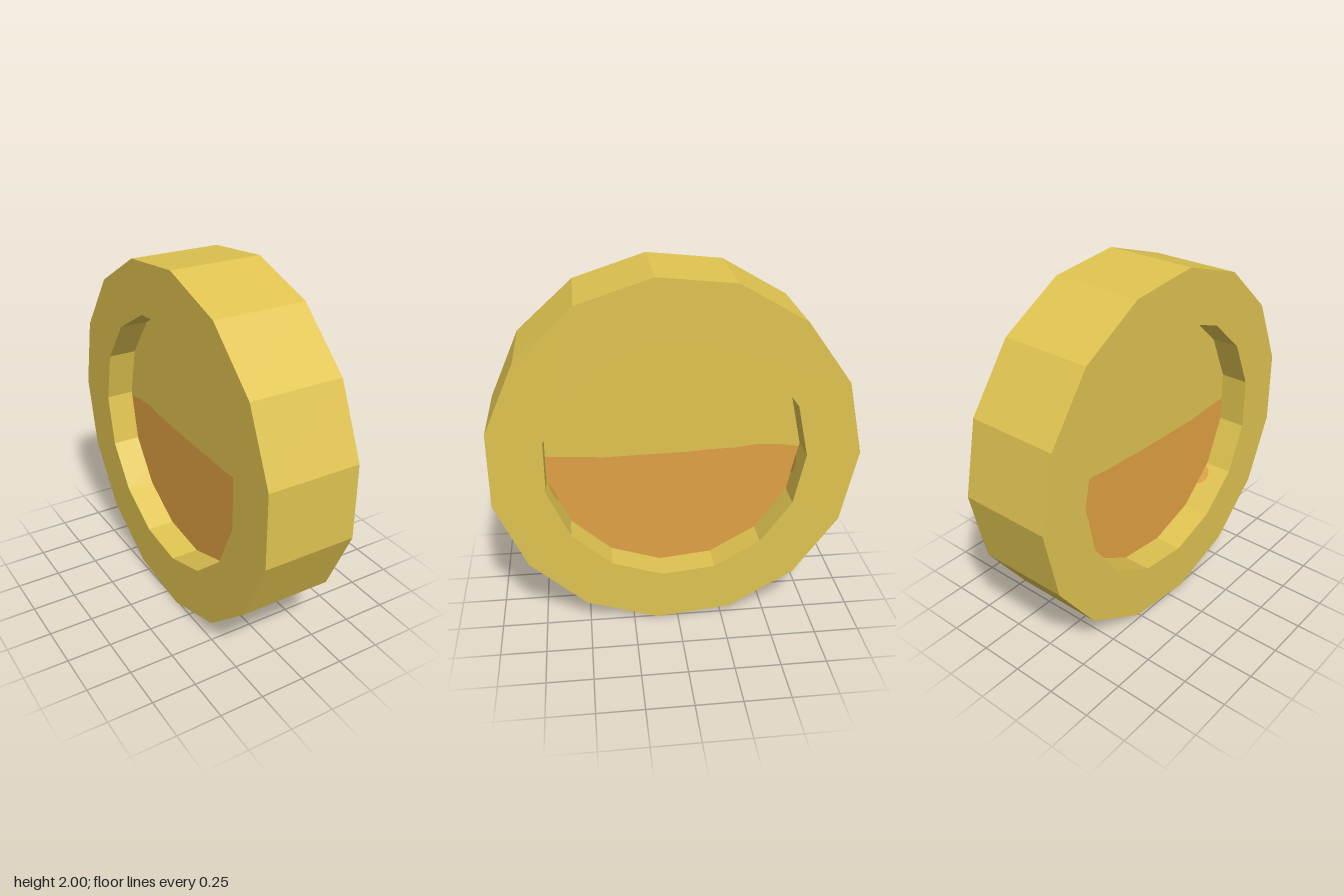
import * as THREE from 'three';

const SIDES = 15, OUTER = 1.0055, INNER = 0.71;
const HALF = 0.26;   // half thickness of the rim
const FLOOR = 0.1;   // half thickness of the recessed disc

const corner = (r, i) => {
  const a = (i / SIDES) * Math.PI * 2;
  return new THREE.Vector2(Math.cos(a) * r, Math.sin(a) * r);
};
const corners = (r, from, to) => {
  const list = [];
  for (let i = from; i <= to; i++) list.push(corner(r, i));
  return list;
};

export function createModel() {
  const gold = new THREE.MeshStandardMaterial({ color: 0xdfc350 });
  gold.name = 'gold';
  const amber = new THREE.MeshStandardMaterial({ color: 0xe0a143 });
  amber.name = 'amber';

  const model = new THREE.Group();
  model.name = 'coin';
  // Coin is drawn in the xy plane, then turned so its axis lies along x
  const coin = new THREE.Group();
  coin.name = 'coinBody';
  coin.rotation.y = Math.PI / 2;
  coin.position.set(0, 1, 0.011);
  model.add(coin);

  const slab = (name, shape, half, material) => {
    const geometry = new THREE.ExtrudeGeometry(shape, { depth: half * 2, bevelEnabled: false });
    geometry.translate(0, 0, -half);
    const mesh = new THREE.Mesh(geometry, material);
    mesh.name = name;
    coin.add(mesh);
  };

  // Faceted rim with an open centre
  const ring = new THREE.Shape(corners(OUTER, 0, SIDES - 1));
  ring.holes.push(new THREE.Path(corners(INNER, 0, SIDES - 1).reverse()));
  slab('rim', ring, HALF, gold);

  // Recessed disc, split by a slightly wavy line into two colours
  const wave = [[-0.705, -0.01], [-0.6, -0.015], [-0.38, -0.03], [0.1, -0.022],
    [0.2, -0.014], [0.35, -0.01], [0.48, 0.004], [0.6, -0.004], [0.705, -0.022]]
    .map(([x, y]) => new THREE.Vector2(x, y));
  slab('upperDisc', new THREE.Shape([...wave, ...corners(INNER, 0, 7)]), FLOOR, gold);
  slab('lowerDisc', new THREE.Shape([...wave.slice().reverse(), ...corners(INNER, 8, 14)]), FLOOR, amber);

  // Small half-round patches on the inner wall of the rim
  const patch = (facet, t, side, radius) => {
    const a = corner(INNER, facet), b = corner(INNER, facet + 1);
    const p = a.lerp(b, t);
    const angle = ((facet + 0.5) / SIDES) * Math.PI * 2;
    const inward = new THREE.Vector3(-Math.cos(angle), -Math.sin(angle), 0);
    const up = new THREE.Vector3(0, 0, side);
    const along = new THREE.Vector3().crossVectors(up, inward);
    const geometry = new THREE.CircleGeometry(radius, 12, 0, Math.PI);
    geometry.scale(1, 0.75, 1);
    geometry.applyMatrix4(new THREE.Matrix4().makeBasis(along, up, inward));
    geometry.translate(p.x + inward.x * 0.002, p.y + inward.y * 0.002, side * FLOOR);
    const mesh = new THREE.Mesh(geometry, amber);
    mesh.name = 'wallPatch';
    coin.add(mesh);
  };
  patch(14, 0.55, 1, 0.055);
  patch(8, 0.27, 1, 0.065);
  patch(9, 0.28, -1, 0.06);

  return model;
}
